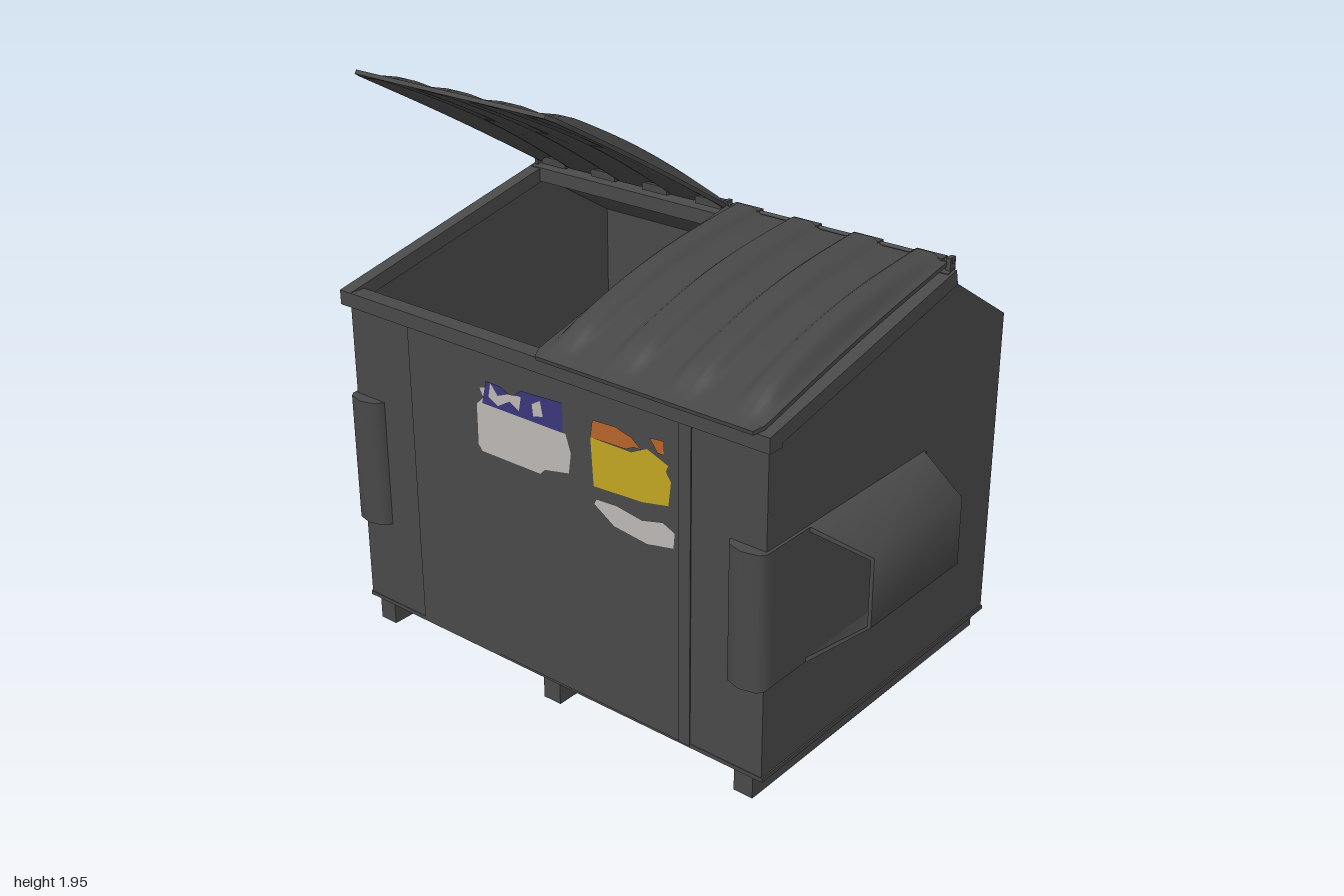
import * as THREE from 'three';
import { toCreasedNormals } from 'three/addons/utils/BufferGeometryUtils.js';

const material = (name, color, side = THREE.FrontSide) => {
  const m = new THREE.MeshStandardMaterial({ color, side });
  m.name = name;
  return m;
};

export function createModel() {
  const model = new THREE.Group();
  model.name = 'wasteContainer';
  const steel = material('dark steel', 0x484848);
  const plastic = material('lid plastic', 0x464646);
  const white = material('label white', 0xbab7b4);
  const yellow = material('label yellow', 0xc0a522);
  const orange = material('label orange', 0xb6622a);
  const blue = material('label blue', 0x39367a);

  const add = (name, geometry, mat = steel, parent = model) => {
    const mesh = new THREE.Mesh(geometry, mat);
    mesh.name = name;
    parent.add(mesh);
    return mesh;
  };
  const box = (name, w, h, d, x, y, z, mat = steel) =>
    add(name, new THREE.BoxGeometry(w, h, d).translate(x, y, z), mat);
  const shape = (pts) => new THREE.Shape(pts.map(([a, b]) => new THREE.Vector2(a, b)));
  const extrude = (pts, depth) =>
    new THREE.ExtrudeGeometry(shape(pts), { depth, bevelEnabled: false });
  // Side profile given as [z, y], extruded across x and centred on x
  const across = (pts, width, x = 0) =>
    extrude(pts, width).rotateY(-Math.PI / 2).translate(x + width / 2, 0, 0);

  // Hollow body: front, floor, back and sloped rear roof in one bent sheet
  const outer = [[0.615, 1.2], [0.615, 0.08], [-0.655, 0.08], [-0.655, 1.185], [-0.31, 1.4]];
  const inner = [[-0.302, 1.388], [-0.643, 1.178], [-0.643, 0.092], [0.603, 0.092], [0.603, 1.2]];
  add('bodyShell', across([...outer, ...inner], 1.69));
  for (const s of [-1, 1]) add('sideWall', across(outer, 0.012, s * 0.844));
  box('frontPanel', 1.15, 1.09, 0.006, -0.005, 0.635, 0.617);
  box('frontSeam', 0.045, 1.09, 0.004, 0.56, 0.635, 0.621);
  box('baseFlange', 1.71, 0.014, 1.274, 0, 0.087, -0.02);

  // Skids
  for (const x of [-0.78, 0, 0.78]) box('skid', 0.07, 0.08, 1.265, x, 0.04, -0.022);

  // Rim around the sloped opening
  box('frontRim', 1.74, 0.05, 0.06, 0, 1.205, 0.61);
  add('rearRim', across([[-0.31, 1.395], [-0.265, 1.385], [-0.265, 1.435], [-0.305, 1.445]], 1.72));
  for (const s of [-1, 1]) {
    add('sideRim', across(
      [[0.64, 1.18], [0.64, 1.23], [-0.3, 1.44], [-0.312, 1.39]], 0.05, s * 0.845));
  }

  // Fork pockets
  for (const s of [-1, 1]) {
    const pocket = new THREE.Group();
    pocket.name = s > 0 ? 'leftForkPocket' : 'rightForkPocket';
    model.add(pocket);

    // Folded channel with its front end cut at an angle
    const channel = toCreasedNormals(extrude([
      [0.852, 0.86], [0.862, 0.86], [1, 0.75], [1, 0.515], [0.862, 0.405], [0.852, 0.405],
      [0.852, 0.414], [0.992, 0.521], [0.992, 0.744], [0.852, 0.851],
    ].map(([x, y]) => [s * x, y]), 0.62).translate(0, 0, -0.2), 1.05);
    const p = channel.attributes.position;
    for (let i = 0; i < p.count; i++) {
      if (p.getZ(i) > 0) p.setZ(i, 0.42 - (Math.abs(p.getX(i)) - 0.86) * 0.93);
    }
    add('channel', channel, steel, pocket);

    // Gussets that narrow the channel opening
    for (const [y0, y1] of [[0.75, 0.855], [0.517, 0.41]]) {
      add('gusset', extrude([[s * 0.85, y0], [s * 0.995, y0], [s * 0.85, y1]], 0.008)
        .translate(0, 0, -0.11), steel, pocket);
    }

    // Wear plate on the side and its rounded wrap at the front corner
    add('wearPlate', new THREE.BoxGeometry(0.01, 0.455, 0.83)
      .translate(s * 0.855, 0.6325, 0.205), steel, pocket);
    const wrap = extrude([
      [0.861, 0.58], [0.861, 0.625], [0.845, 0.645], [0.79, 0.658], [0.738, 0.642],
      [0.72, 0.615], [0.72, 0.6],
    ].map(([x, z]) => [s * x, z]), 0.455).rotateX(Math.PI / 2).translate(0, 0.86, 0);
    add('cornerWrap', toCreasedNormals(wrap, 0.9), steel, pocket);
  }

  // Ribbed, bowed lid; its hinge edge lies on the local x axis
  const smooth = THREE.MathUtils.smoothstep;
  const lidGeometry = (bow) => {
    const W = 0.84, L = 0.97;
    const g = new THREE.BoxGeometry(W, 0.014, L, 72, 1, 28).translate(0, 0.007, L / 2);
    const p = g.attributes.position;
    for (let i = 0; i < p.count; i++) {
      const x = p.getX(i), z = p.getZ(i), t = z / L;
      const edge = smooth(W / 2 - Math.abs(x), 0, 0.06);
      const rib = smooth(Math.cos((x + W / 2 - 0.075) / 0.232 * Math.PI * 2), -0.3, 0.7);
      const lift = bow * Math.sin(Math.PI * t) * (0.25 + 0.75 * edge)
        + 0.022 * rib * edge * (1 - smooth(t, 0.82, 0.98));
      const round = Math.max(0, (t - 0.95) / 0.05);
      p.setXYZ(i, x * (1 - 0.04 * round * round), p.getY(i) + lift, z);
    }
    g.computeVertexNormals();
    return g;
  };
  const hingeY = 1.452, hingeZ = -0.285;
  for (const [name, x, bow, tilt] of [
    ['closedLid', 0.425, 0.045, 0.228], ['openLid', -0.418, 0.025, -0.525]]) {
    const lid = add(name, lidGeometry(bow), plastic);
    lid.position.set(x, hingeY, hingeZ);
    lid.rotation.x = tilt;
  }

  // Hinge rod, knuckles and end brackets
  add('hingeRod', new THREE.CylinderGeometry(0.007, 0.007, 1.72, 10)
    .rotateZ(Math.PI / 2).translate(0, 1.466, -0.295));
  for (const start of [0.005, -0.838]) {
    for (let i = 0; i < 4; i++) {
      box('hingeKnuckle', 0.11, 0.026, 0.035, start + 0.075 + i * 0.232, 1.462, -0.292, plastic);
    }
  }
  for (const x of [-0.85, 0, 0.85]) box('hingeBracket', 0.016, 0.06, 0.03, x, 1.45, -0.295);

  // Worn labels as flat faces on the front
  const label = (name, mat, z, pts) =>
    add(name, new THREE.ShapeGeometry(shape(pts)).translate(0, 0, z), mat);
  label('noticeSheet', white, 0.6225, [
    [-0.26, 0.83], [-0.01, 0.83], [0.01, 0.85], [0.11, 0.87], [0.12, 0.94], [0.1, 1.0],
    [-0.2, 1.0], [-0.22, 1.06], [-0.26, 1.05], [-0.245, 1.02], [-0.275, 0.99], [-0.275, 0.85]]);
  label('noticeBand', blue, 0.6235, [
    [-0.25, 1.0], [0.09, 1.0], [0.09, 1.1], [-0.08, 1.09], [-0.12, 1.06], [-0.17, 1.08],
    [-0.23, 1.08]]);
  label('bandWear', white, 0.6245, [
    [-0.22, 1.03], [-0.18, 1.01], [-0.13, 1.04], [-0.09, 1.02], [-0.08, 1.07], [-0.13, 1.065],
    [-0.18, 1.045], [-0.21, 1.08]]);
  label('bandWear', white, 0.6245, [[-0.03, 1.02], [0.01, 1.03], [0.0, 1.08], [-0.035, 1.06]]);
  label('warningSheet', yellow, 0.6225, [
    [0.21, 0.86], [0.4, 0.87], [0.5, 0.89], [0.51, 0.97], [0.49, 1.0], [0.5, 1.02],
    [0.42, 1.05], [0.36, 1.02], [0.2, 1.02]]);
  label('warningBand', orange, 0.6235, [
    [0.2, 1.02], [0.34, 1.025], [0.37, 1.04], [0.4, 1.04], [0.36, 1.07], [0.3, 1.085],
    [0.21, 1.08]]);
  label('warningScrap', orange, 0.6235, [[0.43, 1.09], [0.46, 1.05], [0.485, 1.05], [0.485, 1.095]]);
  label('lowerSheet', white, 0.6235, [
    [0.21, 0.8], [0.29, 0.75], [0.42, 0.735], [0.52, 0.755], [0.525, 0.81], [0.48, 0.83],
    [0.4, 0.81], [0.3, 0.825], [0.22, 0.82]]);

  return model;
}
